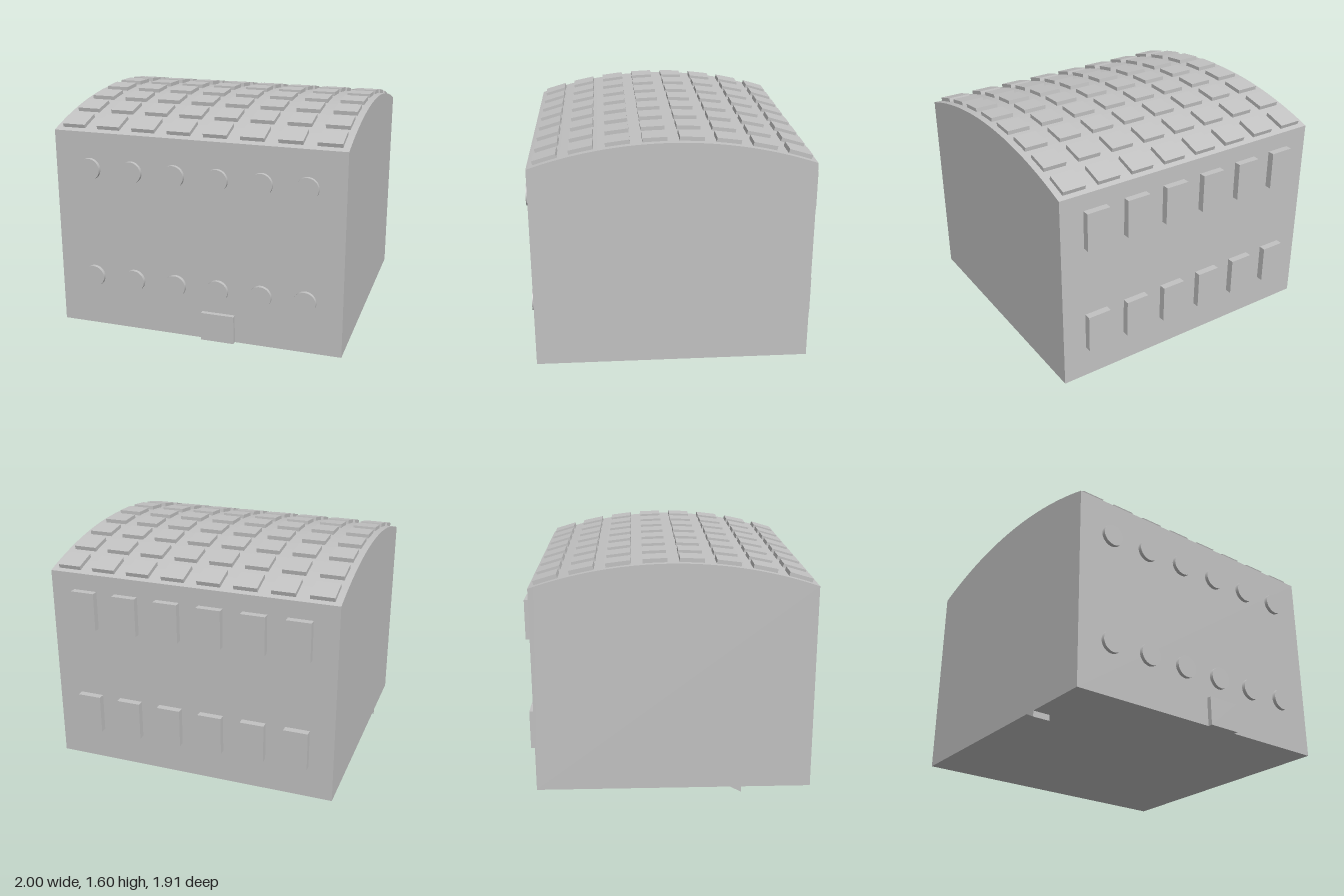
import * as THREE from 'three';
import { toCreasedNormals } from 'three/addons/utils/BufferGeometryUtils.js';

const FRONT = 0.925, BACK = -0.91, BASE = 0.04, EAVE = 1.422, APEX = 1.575;
const MID = (FRONT + BACK) / 2, HALF = (FRONT - BACK) / 2, RISE = APEX - EAVE;
const RADIUS = (HALF * HALF + RISE * RISE) / (2 * RISE);
const ARC = Math.asin(HALF / RADIUS);
const COLUMNS = [-0.75, -0.45, -0.15, 0.15, 0.45, 0.75];

export function createModel() {
  const model = new THREE.Group();
  const grey = new THREE.MeshStandardMaterial({ color: 0xc2c2c2 });
  grey.name = 'stone grey';

  const add = (name, geometry, x, y, z) => {
    const mesh = new THREE.Mesh(geometry, grey);
    mesh.name = name;
    mesh.position.set(x, y, z);
    model.add(mesh);
    return mesh;
  };

  // Side profile (drawn in z, y) swept across the full width
  const sweep = (shape, width) => {
    const g = new THREE.ExtrudeGeometry(shape, { depth: width, bevelEnabled: false, curveSegments: 48 });
    g.translate(0, 0, -width / 2);
    g.rotateY(-Math.PI / 2); // profile x becomes z
    return toCreasedNormals(g, 0.4);
  };

  // Building with a shallow barrel roof
  const profile = new THREE.Shape();
  profile.moveTo(BACK, BASE);
  profile.lineTo(FRONT, BASE);
  profile.lineTo(FRONT, EAVE);
  profile.absarc(MID, APEX - RADIUS, RADIUS, Math.PI / 2 - ARC, Math.PI / 2 + ARC, false);
  profile.closePath();
  add('building', sweep(profile, 2), 0, 0, 0);

  // Roof tiles, eight by eight, tangent to the arc
  const tile = new THREE.BoxGeometry(0.16, 0.04, 0.157);
  for (let row = 0; row < 8; row++) {
    const a = (row - 3.5) * 0.0825;
    const r = RADIUS + 0.006;
    for (let col = 0; col < 8; col++) {
      add('roofTile', tile, (col - 3.5) * 0.25,
        APEX - RADIUS + r * Math.cos(a), 0.004 + r * Math.sin(a)).rotation.x = a;
    }
  }

  // Round windows on the front, tall windows on the back
  const disc = new THREE.CylinderGeometry(0.075, 0.075, 0.05, 40).rotateX(Math.PI / 2);
  const pane = new THREE.BoxGeometry(0.166, 0.266, 0.07);
  for (const x of COLUMNS) {
    for (const y of [0.401, 1.17]) add('roundWindow', disc, x, y, 0.926);
    for (const y of [0.403, 1.173]) add('backWindow', pane, x, y, -0.922);
  }

  // Front door
  add('door', new THREE.BoxGeometry(0.23, 0.197, 0.06), 0.155, 0.1385, 0.927);

  // Small wedge under the floor
  const wedge = new THREE.Shape([
    new THREE.Vector2(0.46, 0), new THREE.Vector2(0.38, 0.042), new THREE.Vector2(0.46, 0.042),
  ]);
  add('floorWedge', sweep(wedge, 0.12), -0.94, 0, 0);

  return model;
}
